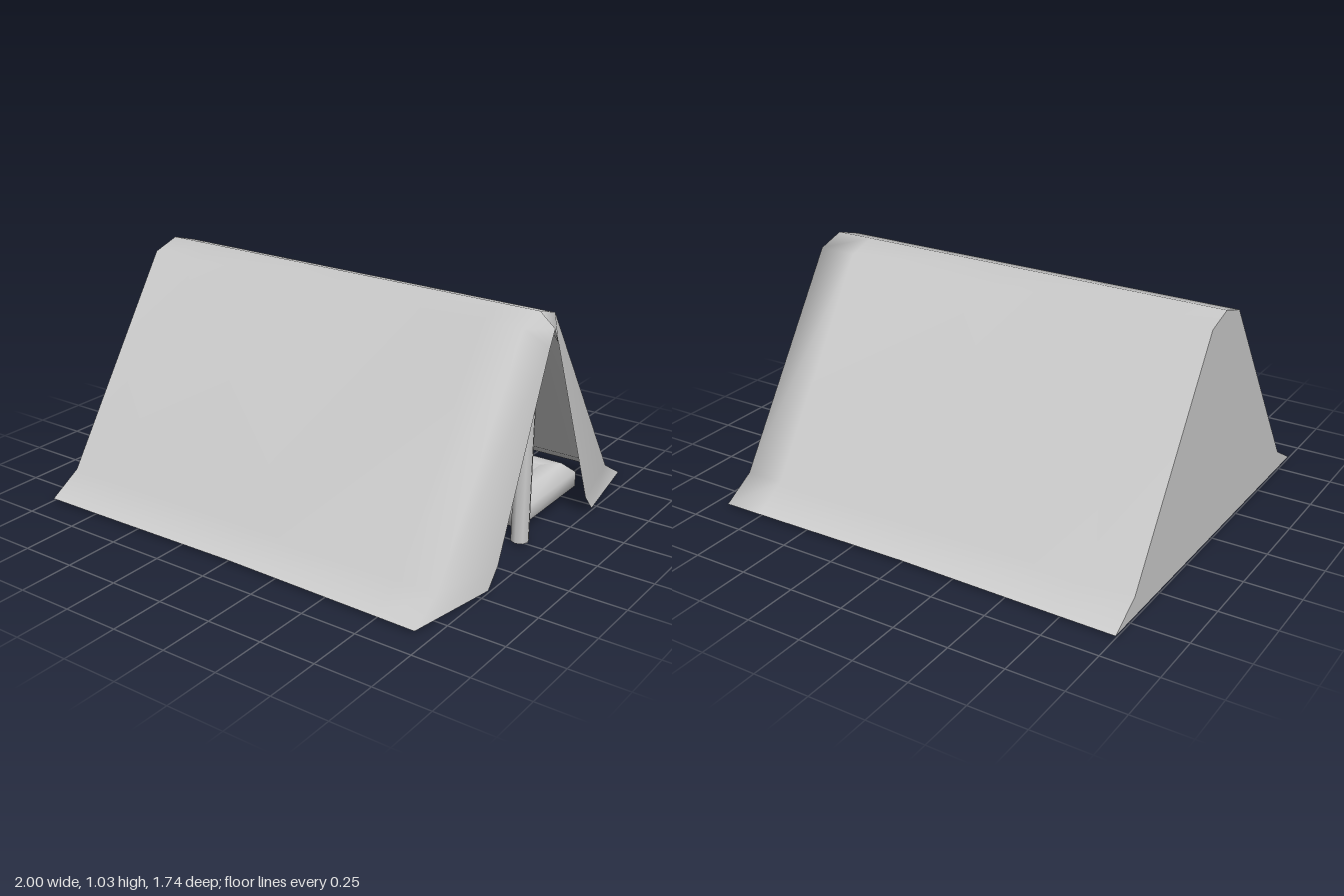
import * as THREE from 'three';

const material = new THREE.MeshStandardMaterial({ color: 0xcccccc, side: THREE.DoubleSide });

// Smooth skin through a list of cross-sections, each a list of [x, y, z]
function loft(sections, closed = false) {
  const n = sections[0].length;
  const index = [];
  for (let i = 0; i < sections.length - 1; i++) {
    for (let j = 0; j < (closed ? n : n - 1); j++) {
      const k = (j + 1) % n;
      const a = i * n + j, b = a + n, c = (i + 1) * n + k, d = i * n + k;
      index.push(a, b, c, a, c, d);
    }
  }
  const geometry = new THREE.BufferGeometry();
  geometry.setAttribute('position', new THREE.Float32BufferAttribute(sections.flat(2), 3));
  geometry.setIndex(index);
  geometry.computeVertexNormals();
  return geometry;
}

function part(name, geometry, parent) {
  const mesh = new THREE.Mesh(geometry, material);
  mesh.name = name;
  parent.add(mesh);
  return mesh;
}

// Half profile [z, y] from foot to ridge, completed by its mirror image
const mirrored = (half) => [...half, ...half.slice(0, -1).reverse().map(([z, y]) => [-z, y])];
const wallProfile = (foot) => mirrored([[foot, 0.01], [0.72, 0.1], [0.13, 0.99], [0, 1.03]]);
const openingProfile = mirrored([[0.45, 0.01], [0.38, 0.09], [0.035, 0.9], [0, 0.97]]);

export function createModel() {
  const tent = new THREE.Group();
  tent.name = 'tent';

  // Canvas: walls with flared feet, drawn in at the open end to form the door flaps
  const place = (profile, x) => profile.map(([z, y]) => [x, y, z]);
  const sections = [-1, -0.75, 0, 0.75, 0.93].map((x) =>
    place(wallProfile(0.855 + 0.015 * Math.min(1, Math.abs(x) / 0.93)), x));
  sections.push(place(openingProfile, 1));
  part('canvas', loft(sections), tent);

  // Closed end wall
  const wall = new THREE.Shape(wallProfile(0.87).map(([z, y]) => new THREE.Vector2(z, y)));
  const endWall = part('endWall', new THREE.ShapeGeometry(wall), tent);
  endWall.rotation.y = -Math.PI / 2;
  endWall.position.x = -1;

  // Pole just inside the opening
  const pole = part('pole', new THREE.CylinderGeometry(0.04, 0.04, 0.98, 8), tent);
  pole.position.set(0.89, 0.5, 0);

  // Bed: four mitred eight-sided rails with a sheet across the top, hollow below
  const bed = new THREE.Group();
  bed.name = 'bed';
  bed.position.set(0.16, 0.083, -0.3);
  tent.add(bed);
  const halfX = 0.627, halfZ = 0.157, radius = 0.09;
  const corner = ([sx, sz]) => Array.from({ length: 8 }, (_, k) => {
    const a = (k + 0.5) * Math.PI / 4;
    const out = radius * Math.cos(a);
    return [sx * (halfX + out), radius * Math.sin(a), sz * (halfZ + out)];
  });
  const corners = [[1, 1], [1, -1], [-1, -1], [-1, 1]];
  corners.forEach((c, i) =>
    part('bedRail', loft([corner(c), corner(corners[(i + 1) % 4])], true), bed));
  const inset = radius * Math.sin(Math.PI / 8);
  const sheet = part('bedSheet', new THREE.PlaneGeometry(2 * (halfX - inset), 2 * (halfZ - inset)), bed);
  sheet.rotation.x = -Math.PI / 2;
  sheet.position.y = radius * Math.cos(Math.PI / 8);

  return tent;
}
